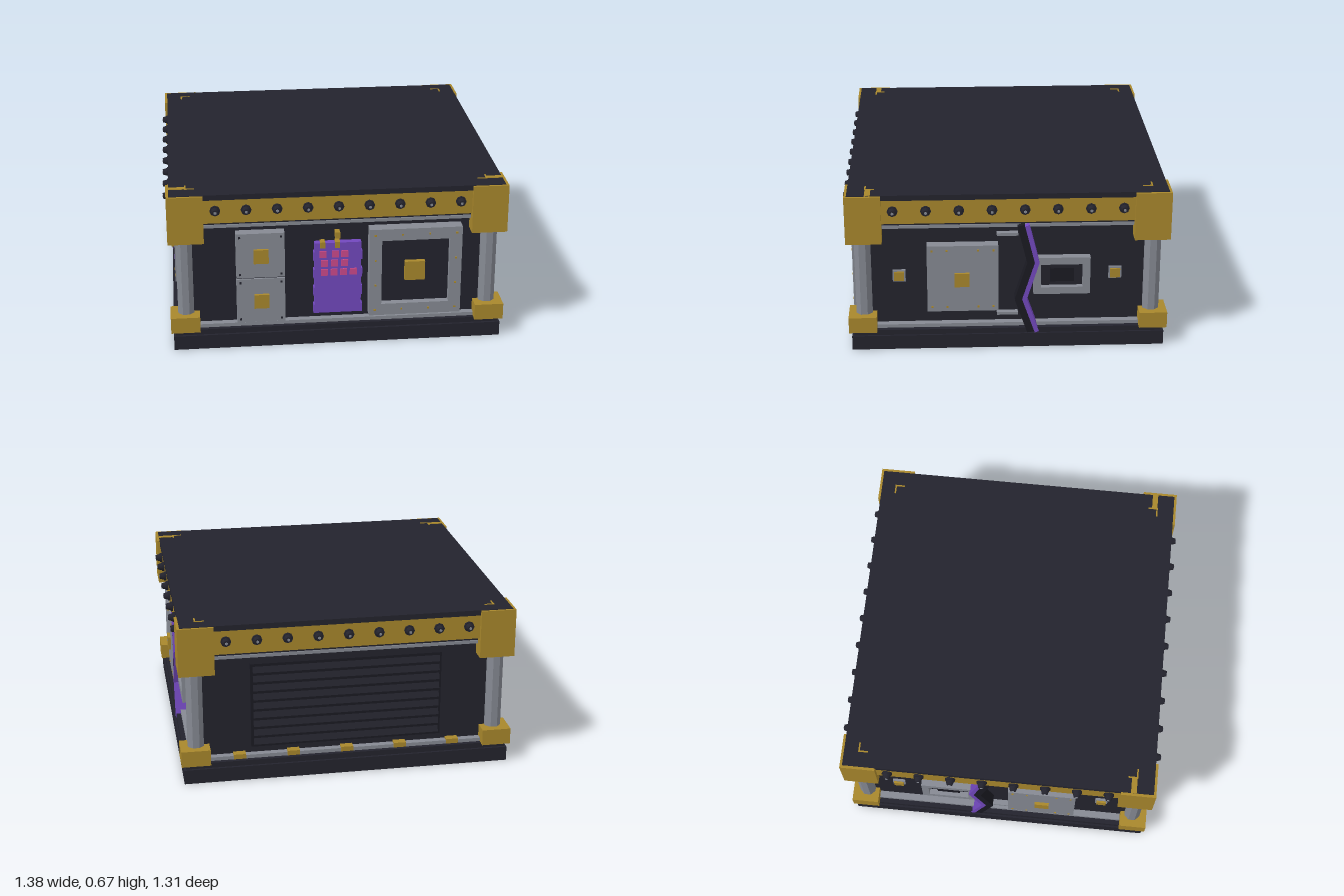
import * as THREE from 'three';

const mat = (name, color) => Object.assign(new THREE.MeshStandardMaterial({ color }), { name });

export function createModel() {
  const dark = mat('dark hull', 0x23232d);
  const black = mat('recess black', 0x1a1a22);
  const gold = mat('aged gold', 0xa8872c);
  const grey = mat('steel grey', 0x868a93);
  const purple = mat('purple glow', 0x7248be);
  const pink = mat('pink keys', 0xcc4a8c);

  const root = new THREE.Group();
  root.name = 'armouredCrate';

  const add = (name, geo, m, x, y, z, parent = root) => {
    const mesh = new THREE.Mesh(geo, m);
    mesh.name = name;
    mesh.position.set(x, y, z);
    parent.add(mesh);
    return mesh;
  };
  // Box from its minimum and maximum corners
  const box = (name, m, x0, x1, y0, y1, z0, z1) => add(name,
    new THREE.BoxGeometry(Math.abs(x1 - x0), y1 - y0, Math.abs(z1 - z0)), m,
    (x0 + x1) / 2, (y0 + y1) / 2, (z0 + z1) / 2);

  // Hull, base and lid
  box('base', dark, -0.668, 0.668, 0, 0.06, -0.632, 0.632);
  box('baseStep', dark, -0.66, 0.66, 0.06, 0.082, -0.622, 0.622);
  box('body', dark, -0.612, 0.612, 0.08, 0.56, -0.578, 0.578);
  box('underBand', dark, -0.64, 0.64, 0.535, 0.552, -0.605, 0.605);
  box('band', gold, -0.662, 0.662, 0.55, 0.65, -0.627, 0.627);
  box('lid', dark, -0.667, 0.667, 0.65, 0.672, -0.633, 0.633);

  // Steel trim above and below each wall
  for (const [y0, y1] of [[0.082, 0.097], [0.52, 0.533]])
    for (const s of [-1, 1]) {
      box('trimLong', grey, -0.56, 0.56, y0, y1, s * 0.57, s * 0.605);
      box('trimSide', grey, s * 0.6, s * 0.64, y0, y1, -0.53, 0.53);
    }

  // Corner posts with gold caps and feet
  for (const sx of [-1, 1])
    for (const sz of [-1, 1]) {
      const post = add('cornerPost', new THREE.CylinderGeometry(0.035, 0.035, 0.36, 8), grey,
        sx * 0.615, 0.31, sz * 0.58);
      post.geometry.rotateY(Math.PI / 8);
      post.material.flatShading = true;
      box('cornerCap', gold, sx * 0.535, sx * 0.678, 0.47, 0.67, sz * 0.5, sz * 0.643);
      box('cornerFoot', gold, sx * 0.56, sx * 0.678, 0.08, 0.147, sz * 0.53, sz * 0.643);
      // Gold inlays on the lid
      const zi = sz > 0 ? 0.565 : 0.575;
      box('lidInlay', gold, sx * 0.565, sx * 0.605, 0.67, 0.674, sz * zi, sz * (zi - 0.006));
      box('lidInlay', gold, sx * 0.599, sx * 0.605, 0.67, 0.674, sz * zi, sz * (zi - 0.04));
      if (sz > 0) box('lidInlay', gold, sx * 0.6, sx * 0.667, 0.67, 0.674, 0.54, 0.563);
    }

  // Rivets round the band: a washer and a domed bolt
  const washer = new THREE.CylinderGeometry(0.021, 0.021, 0.012, 8).rotateX(Math.PI / 2);
  const bolt = new THREE.CylinderGeometry(0.012, 0.018, 0.02, 8).rotateX(Math.PI / 2);
  const rivet = (x, z, turn) => {
    const g = new THREE.Group();
    g.name = 'rivet';
    add('washer', washer, dark, 0, 0, 0.004, g);
    add('bolt', bolt, dark, 0, 0, 0.018, g);
    add('boltFace', new THREE.CylinderGeometry(0.006, 0.006, 0.002, 6).rotateX(Math.PI / 2), grey, 0, 0, 0.029, g);
    g.position.set(x, 0.605, z);
    g.rotation.y = turn;
    root.add(g);
  };
  for (let i = -4; i <= 4; i++) {
    rivet(i * 0.122, 0.627, 0);
    rivet(i * 0.122, -0.627, Math.PI);
  }
  for (let i = 0; i < 8; i++) {
    const z = (i - 3.5) * 0.13;
    rivet(0.662, z, Math.PI / 2);
    rivet(-0.662, z, -Math.PI / 2);
  }

  // Front: pair of locker doors
  for (const y of [0.105, 0.303]) {
    box('lockerDoor', grey, -0.41, -0.215, y, y + 0.192, 0.57, 0.62);
    box('lockerLatch', gold, -0.34, -0.28, y + 0.065, y + 0.125, 0.62, 0.632);
    for (const dx of [-0.395, -0.23])
      for (const dy of [0.015, 0.177])
        box('doorStud', dark, dx - 0.004, dx + 0.004, y + dy - 0.004, y + dy + 0.004, 0.62, 0.623);
  }
  box('lockerSeam', dark, -0.41, -0.215, 0.295, 0.305, 0.57, 0.612);

  // Front: glowing console with keys and gold pins
  for (let i = 0; i < 8; i++) {
    const w = i % 2 ? 0.094 : 0.099;
    box('consoleSlab', purple, -w, w, 0.125 + i * 0.0388, 0.125 + (i + 1) * 0.0388, 0.57, 0.605);
  }
  const keyRows = [[0.307, [-0.055, -0.016, 0.023, 0.062]], [0.347, [-0.055, -0.014, 0.027]],
    [0.387, [-0.06, -0.01, 0.027]]];
  for (const [y, xs] of keyRows)
    for (const x of xs) box('consoleKey', pink, x - 0.014, x + 0.014, y - 0.014, y + 0.014, 0.605, 0.61);
  for (const [x, y] of [[-0.062, 0.428], [-0.002, 0.428], [-0.002, 0.47]])
    box('consolePin', gold, x - 0.01, x + 0.01, y - 0.013, y + 0.013, 0.57, 0.612);

  // Framed hatch as an extruded ring; w and h outside, t border
  const frame = (w, h, t, depth) => {
    const rect = (P, a, b) => {
      const p = new P();
      p.moveTo(-a, -b); p.lineTo(a, -b); p.lineTo(a, b); p.lineTo(-a, b); p.closePath();
      return p;
    };
    const s = rect(THREE.Shape, w / 2, h / 2);
    s.holes.push(rect(THREE.Path, w / 2 - t, h / 2 - t));
    return new THREE.ExtrudeGeometry(s, { depth, bevelEnabled: false });
  };
  add('hatchFrame', frame(0.375, 0.38, 0.05, 0.06), grey, 0.3125, 0.305, 0.57);
  box('hatchPanel', dark, 0.175, 0.45, 0.167, 0.443, 0.57, 0.605);
  box('hatchLatch', gold, 0.27, 0.352, 0.265, 0.347, 0.605, 0.625);
  for (let i = 0; i < 4; i++)
    for (const s of [-1, 1]) {
      const k = (i - 1.5) * 0.11;
      box('hatchStud', gold, 0.309 + k, 0.316 + k, 0.3015 + s * 0.165, 0.3085 + s * 0.165, 0.63, 0.633);
      box('hatchStud', gold, 0.309 + s * 0.163, 0.316 + s * 0.163, 0.3015 + k, 0.3085 + k, 0.63, 0.633);
    }

  // Both sides, mirrored
  const crack = [[0.53, -0.075], [0.37, -0.115], [0.21, -0.065], [0.065, -0.115]];
  for (const s of [-1, 1]) {
    box('sidePlate', grey, s * 0.6, s * 0.655, 0.16, 0.447, 0.04, 0.325);
    box('plateLatch', gold, s * 0.655, s * 0.667, 0.272, 0.33, 0.155, 0.215);
    for (const y of [0.18, 0.427])
      for (const z of [0.06, 0.12, 0.245, 0.305])
        box('plateStud', gold, s * 0.655, s * 0.658, y - 0.004, y + 0.004, z - 0.004, z + 0.004);
    for (const z of [0.437, -0.432]) {
      box('sideButtonRim', grey, s * 0.6, s * 0.622, 0.28, 0.33, z - 0.026, z + 0.026);
      box('sideButton', gold, s * 0.622, s * 0.63, 0.286, 0.324, z - 0.02, z + 0.02);
    }
    for (const y of [0.135, 0.485])
      box('sideClip', grey, s * 0.6, s * 0.635, y - 0.006, y + 0.006, -0.04, 0.045);
    const f = add('sideFrame', frame(0.228, 0.16, 0.03, 0.045), grey, s * 0.6, 0.304, -0.216);
    f.rotation.y = s * Math.PI / 2;
    box('sideVent', dark, s * 0.6, s * 0.622, 0.25, 0.36, -0.3, -0.135);
    box('ventCore', black, s * 0.622, s * 0.634, 0.275, 0.333, -0.265, -0.17);

    // Zigzag seam: a dark ridge with a glowing line in front
    for (let i = 0; i < 3; i++) {
      const [y0, z0] = crack[i], [y1, z1] = crack[i + 1];
      const len = Math.hypot(y1 - y0, z1 - z0), tilt = Math.atan2(z0 - z1, y0 - y1);
      const seg = (name, m, w, d, x, dz) => {
        const b = add(name, new THREE.BoxGeometry(d, len + 0.006, w), m, s * x, (y0 + y1) / 2, (z0 + z1) / 2 + dz);
        b.rotation.x = tilt;
      };
      seg('seamRidge', black, 0.03, 0.055, 0.633, 0.024);
      seg('seamGlow', purple, 0.018, 0.06, 0.632, 0);
    }
  }

  // Back: louvred grille and gold tabs on the lower trim
  box('grillePlate', black, -0.39, 0.39, 0.125, 0.485, -0.59, -0.57);
  for (let i = 0; i < 9; i++) {
    const slat = add('grilleSlat', new THREE.BoxGeometry(0.76, 0.026, 0.012), dark, 0, 0.15 + i * 0.039, -0.595);
    slat.rotation.x = 0.4;
  }
  for (let i = -2; i <= 2; i++)
    box('trimTab', gold, i * 0.22 - 0.025, i * 0.22 + 0.025, 0.085, 0.105, -0.612, -0.58);

  return root;
}
